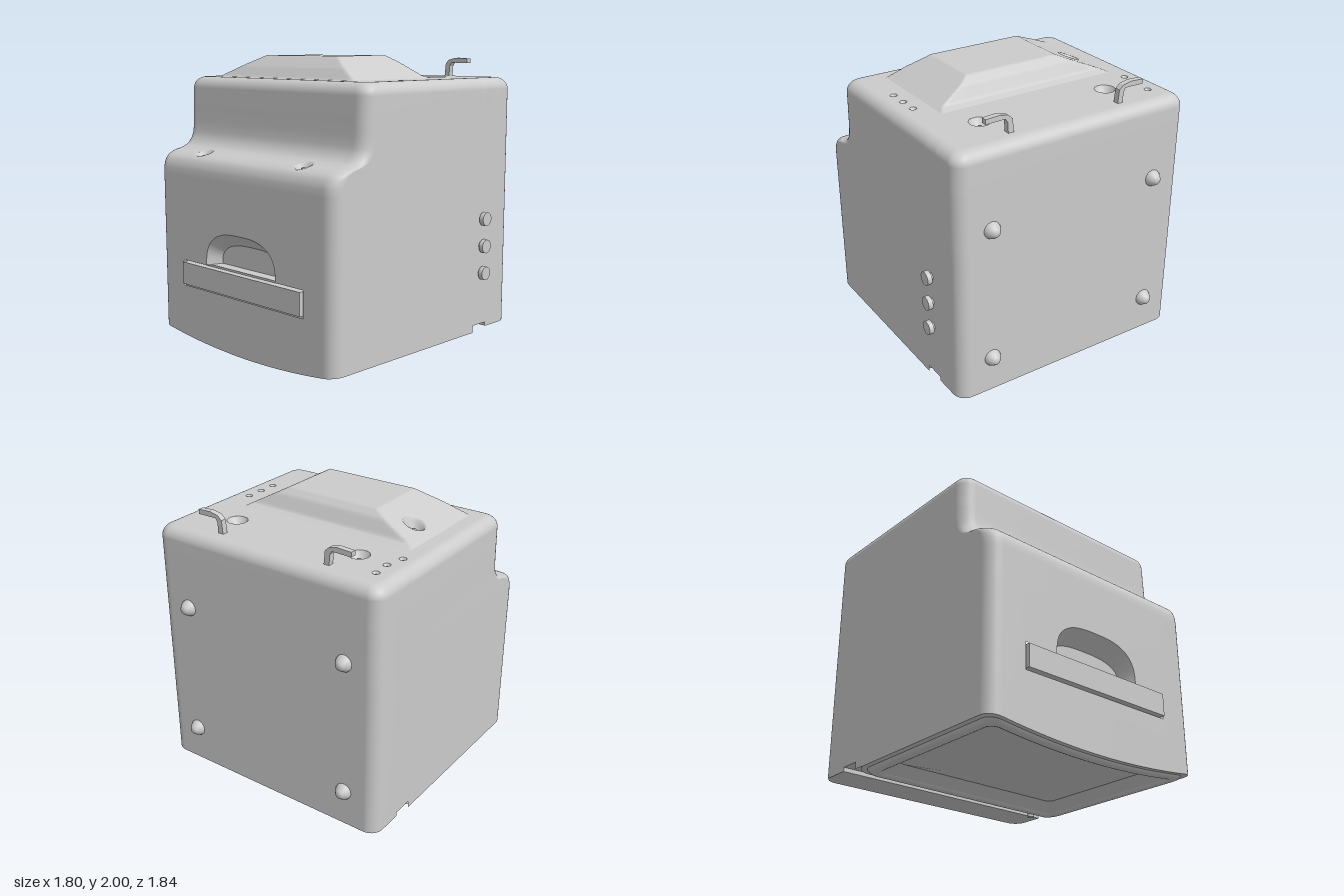
import * as THREE from 'three';

const mat = new THREE.MeshStandardMaterial({ color: 0xcccccc });
const thin = new THREE.MeshStandardMaterial({ color: 0xcccccc, side: THREE.DoubleSide });
const X0 = -0.9, X1 = 0.85, Z0 = -0.86, Z1 = 0.9, CX = -0.025, TOP = 1.85;
const N = 120; // columns across the front
const lerp = THREE.MathUtils.lerp, clamp = THREE.MathUtils.clamp;

// bowed lower edge of the cabinet
const bow = x => 0.09 - 0.065 * (1 - ((x - CX) / 0.875) ** 2);

// side columns, doubled where the bottom edge steps
const sideT = [0.81, -0.455, -0.46, -0.6, -0.605, -0.77].map(z => (0.81 - z) / 1.58);

// rounded rectangle in x/z, counter-clockwise seen from above, starting at the front left
function ring(x0, x1, z0, z1, r) {
  const p = [];
  const corner = (cx, cz, a) => {
    for (let k = 1; k < 7; k++) {
      const t = a - (k / 7) * Math.PI / 2;
      p.push([cx + r * Math.cos(t), cz + r * Math.sin(t)]);
    }
  };
  for (let i = 0; i <= N; i++) p.push([lerp(x0 + r, x1 - r, i / N), z1]);
  corner(x1 - r, z1 - r, Math.PI / 2);
  for (const t of sideT) p.push([x1, lerp(z1 - r, z0 + r, t)]);
  corner(x1 - r, z0 + r, 0);
  p.push([x1 - r, z0], [x0 + r, z0]);
  corner(x0 + r, z0 + r, -Math.PI / 2);
  for (const t of sideT.slice().reverse()) p.push([x0, lerp(z1 - r, z0 + r, t)]);
  corner(x0 + r, z1 - r, Math.PI);
  return p;
}

// skin over rows of 3D points
function loft(rows, { closed = true, flip = false, skip = () => false } = {}) {
  const n = rows[0].length, pos = rows.flat(2), idx = [];
  for (let j = 0; j < rows.length - 1; j++)
    for (let i = 0; i < (closed ? n : n - 1); i++) {
      if (skip(j, i)) continue;
      const a = j * n + i, b = j * n + (i + 1) % n, c = b + n, d = a + n;
      idx.push(...(flip ? [a, c, b, a, d, c] : [a, b, c, a, c, d]));
    }
  const g = new THREE.BufferGeometry();
  g.setAttribute('position', new THREE.Float32BufferAttribute(pos, 3));
  g.setIndex(idx);
  g.computeVertexNormals();
  return g;
}

// conical depression sunk into a surface
const dent = (x, z, [hx, hz, R], depth) =>
  depth * clamp((R - Math.hypot(x - hx, z - hz)) / (0.5 * R), 0, 1);

// piecewise linear profile
function ramp(v, pts) {
  if (v <= pts[0][0]) return pts[0][1];
  for (let i = 1; i < pts.length; i++)
    if (v <= pts[i][0])
      return lerp(pts[i - 1][1], pts[i][1], (v - pts[i - 1][0]) / (pts[i][0] - pts[i - 1][0]));
  return pts[pts.length - 1][1];
}

const floorShape = pts => new THREE.Shape(pts.map(([x, z]) => new THREE.Vector2(x, -z)));

export function createModel() {
  const model = new THREE.Group();
  const add = (name, geo, x = 0, y = 0, z = 0, m = mat) => {
    const mesh = new THREE.Mesh(geo, m);
    mesh.name = name;
    mesh.position.set(x, y, z);
    model.add(mesh);
    return mesh;
  };
  const cyl = (r, h, s = 20) => new THREE.CylinderGeometry(r, r, h, s);

  // cabinet: stacked rounded rectangles with a stepped front
  const ledgeHoles = [[-0.52, 0.785, 0.054], [0.47, 0.785, 0.054]];
  const step = new THREE.SplineCurve([[0.9, 1.2], [0.893, 1.255], [0.865, 1.305], [0.81, 1.335], [0.75, 1.35],
    [0.69, 1.378], [0.65, 1.43], [0.635, 1.5], [0.63, 1.6]].map(p => new THREE.Vector2(...p)));
  const levels = [[0, Z1, 0], [0.3, Z1, 0], [0.95, Z1, 0], [1.18, Z1, 0]]; // y, front z, inset
  for (const p of step.getSpacedPoints(44)) levels.push([p.y, p.x, 0]);
  for (let k = 0; k <= 8; k++) {
    const a = (k / 8) * Math.PI / 2;
    levels.push([TOP - 0.08 + 0.08 * Math.sin(a), 0.625, 0.08 * (1 - Math.cos(a))]);
  }
  levels.push([TOP, 0.625, 0.09]);
  const rowRing = ([, z, d]) => ring(X0 + d, X1 - d, Z0 + d, z - d, Math.max(0.09 - d * 0.6, 0.03));
  const rows = levels.map((lv, j) => rowRing(lv).map(([x, z]) => {
    let y = lv[0];
    if (j === 0) y = z > -0.458 ? bow(x) : z > -0.602 ? 0.14 : 0.11;
    if (y > 1.2 && y < 1.5) for (const h of ledgeHoles) y -= dent(x, z, h, 0.05);
    return [x, y, z];
  }));
  add('cabinet', loft(rows, { skip: (j, i) => j === 1 && i >= 12 && i < 108 }));
  for (const [x, z] of ledgeHoles) add('ledgeScrew', cyl(0.016, 0.03), x, 1.31, z);

  // top panel with screw wells and small holes
  const wells = [[-0.51, -0.5, 0.07], [0.46, -0.5, 0.07]];
  const dots = [[-0.74, -0.66], [-0.73, -0.53], [-0.76, -0.4], [0.7, -0.1], [0.7, 0.03], [0.7, 0.16]]
    .map(p => [...p, 0.024]);
  const humpWell = [-0.585, 0, 0.072];
  const top = floorShape(rowRing(levels[levels.length - 1]));
  for (const [x, z, r] of [...wells, ...dots, humpWell])
    top.holes.push(new THREE.Path().absarc(x, -z, r, 0, Math.PI * 2, true));
  add('topPanel', new THREE.ShapeGeometry(top, 20).rotateX(-Math.PI / 2), 0, TOP, 0);
  for (const [x, z, r] of [...wells, ...dots]) {
    const prof = [[1, 0], [0.55, -0.8], [0.28, -0.8], [0.28, -0.5], [0, -0.5]];
    add('screwWell', new THREE.LatheGeometry(prof.map(([a, b]) => new THREE.Vector2(a * r, b * r)), 32),
      x, TOP, z, thin);
  }

  // raised hump on the top
  const hump = new THREE.PlaneGeometry(1.4, 0.8, 140, 80).rotateX(-Math.PI / 2).translate(-0.06, 0, 0.1);
  const hp = hump.attributes.position;
  for (let i = 0; i < hp.count; i++) {
    const x = hp.getX(i), z = hp.getZ(i);
    const fx = ramp(x, [[-0.74, 0], [-0.38, 1], [0.32, 1], [0.6, 0]]);
    const fz = ramp(z, [[-0.28, 0], [-0.22, 0.15], [-0.17, 0.73], [-0.12, 1], [0.34, 1], [0.42, 0.5], [0.475, 0]]);
    hp.setY(i, TOP - 0.003 + 0.153 * Math.min(fx, fz) - dent(x, z, humpWell, 0.08));
  }
  hump.computeVertexNormals();
  add('hump', hump, 0, 0, 0, thin);
  add('humpScrew', cyl(0.02, 0.05), humpWell[0], 1.84, 0);

  // pair of bent hooks, arms pointing outwards
  const hook = [[0.37, 1.84], [0.41, 1.84], [0.415, 1.92], [0.43, 1.945], [0.47, 1.945], [0.57, 1.943],
    [0.57, 1.975], [0.47, 1.98], [0.41, 1.967], [0.38, 1.94]];
  for (const s of [1, -1]) {
    const pts = hook.map(([x, y]) => new THREE.Vector2(s > 0 ? x : 2 * CX - x, y));
    add('hook', new THREE.ExtrudeGeometry(new THREE.Shape(pts), { depth: 0.04, bevelEnabled: false }), 0, 0, -0.74);
  }

  // front panel with the opening for tray and finger recess
  const arch = (w, h, z) => Array.from({ length: 33 }, (_, k) => {
    const a = (k / 32) * Math.PI, c = Math.cos(a);
    return [CX + w * Math.sign(c) * Math.abs(c) ** 0.7, 0.595 + h * Math.sin(a) ** 0.75, z];
  });
  const outer = arch(0.35, 0.245, Z1), inner = arch(0.315, 0.155, 0.79);
  const xa = lerp(X0 + 0.09, X1 - 0.09, 12 / N), xb = lerp(X0 + 0.09, X1 - 0.09, 108 / N);
  const v2 = pts => pts.map(p => new THREE.Vector2(p[0], p[1]));
  const panel = new THREE.Shape(v2([[xa, 0.3], [xb, 0.3], [xb, 0.95], [xa, 0.95]]));
  panel.holes.push(new THREE.Path(v2([[-0.63, 0.415], [0.58, 0.415], [0.58, 0.595], ...outer, [-0.63, 0.595]])));
  add('frontPanel', new THREE.ShapeGeometry(panel), 0, 0, Z1);
  add('fingerRecess', loft([outer, inner], { closed: false }), 0, 0, 0, thin);
  add('recessBack', new THREE.ShapeGeometry(new THREE.Shape(v2(inner))), 0, 0, 0.79, thin);
  add('trayHousing', new THREE.BoxGeometry(1.27, 0.197, 0.17), CX, 0.4985, 0.785);
  add('tray', new THREE.BoxGeometry(1.19, 0.155, 0.1), CX, 0.506, 0.87);

  // row of knobs on the side
  for (const y of [0.89, 0.7, 0.51]) {
    add('sideKnobStem', cyl(0.024, 0.05).rotateZ(Math.PI / 2), 0.86, y, -0.53);
    add('sideKnob', cyl(0.047, 0.032, 32).rotateZ(Math.PI / 2), 0.884, y, -0.53);
  }

  // four rounded pegs on the back
  const peg = [[0.058, -0.01], [0.056, 0.01], [0.045, 0.03], [0.028, 0.052], [0.014, 0.059], [0, 0.06]];
  for (const x of [-0.655, 0.605]) for (const y of [1.31, 0.365])
    add('backPeg', new THREE.LatheGeometry(v2(peg), 24).rotateX(-Math.PI / 2), x, y, Z0);

  // underside: recessed floor and rear strip
  const slab = (name, pts, y) => add(name, new THREE.ExtrudeGeometry(floorShape(pts),
    { depth: 0.03, bevelEnabled: false }).rotateX(-Math.PI / 2), 0, y, 0);
  const full = ring(X0 + 0.003, X1 - 0.003, Z0 + 0.003, Z1 - 0.003, 0.09);
  slab('undersideFloor', full, 0.14);
  slab('rearStrip', full.map(([x, z]) => [x, Math.min(z, -0.602)]), 0.111);

  // bezel frame and bulging screen
  const bezelRing = (d, y) => ring(X0 + d, X1 - d, -0.458 + d, Z1 - d, Math.max(0.09 - d * 0.25, 0.03))
    .map(([x, z]) => [x, y(x), z]);
  const band = list => loft(list.map(([d, dy]) => bezelRing(d, x => bow(x) + dy)), { flip: true });
  add('bezelSkirt', loft([bezelRing(0.002, () => 0.14), bezelRing(0.002, bow)], { flip: true }));
  add('bezelEdge', band([[0.002, 0], [0.035, 0]]));
  add('bezelRim', band([[0.035, 0], [0.045, -0.014], [0.06, -0.02], [0.09, -0.02], [0.105, -0.014], [0.115, 0]]));
  add('bezelSlope', band([[0.115, 0], [0.2, 0.065]]));
  const edge = bezelRing(0.2, x => bow(x) + 0.065), cz = (Z1 - 0.458) / 2;
  const screen = [];
  for (let k = 0; k <= 10; k++) {
    const s = 1 - k / 10;
    screen.push(edge.map(([x, , z]) => {
      const px = CX + (x - CX) * s;
      return [px, bow(px) + 0.065 - 0.035 * (1 - s * s), cz + (z - cz) * s];
    }));
  }
  add('screen', loft(screen, { flip: true }));

  // controls hanging in the channel behind the bezel
  add('mainControl', cyl(0.025, 0.07), 0.7, 0.113, -0.53);
  for (let k = 0; k < 8; k++) add('smallControl', cyl(0.018, 0.035, 12), 0.54 - k * 0.088, 0.125, -0.53);

  return model;
}
